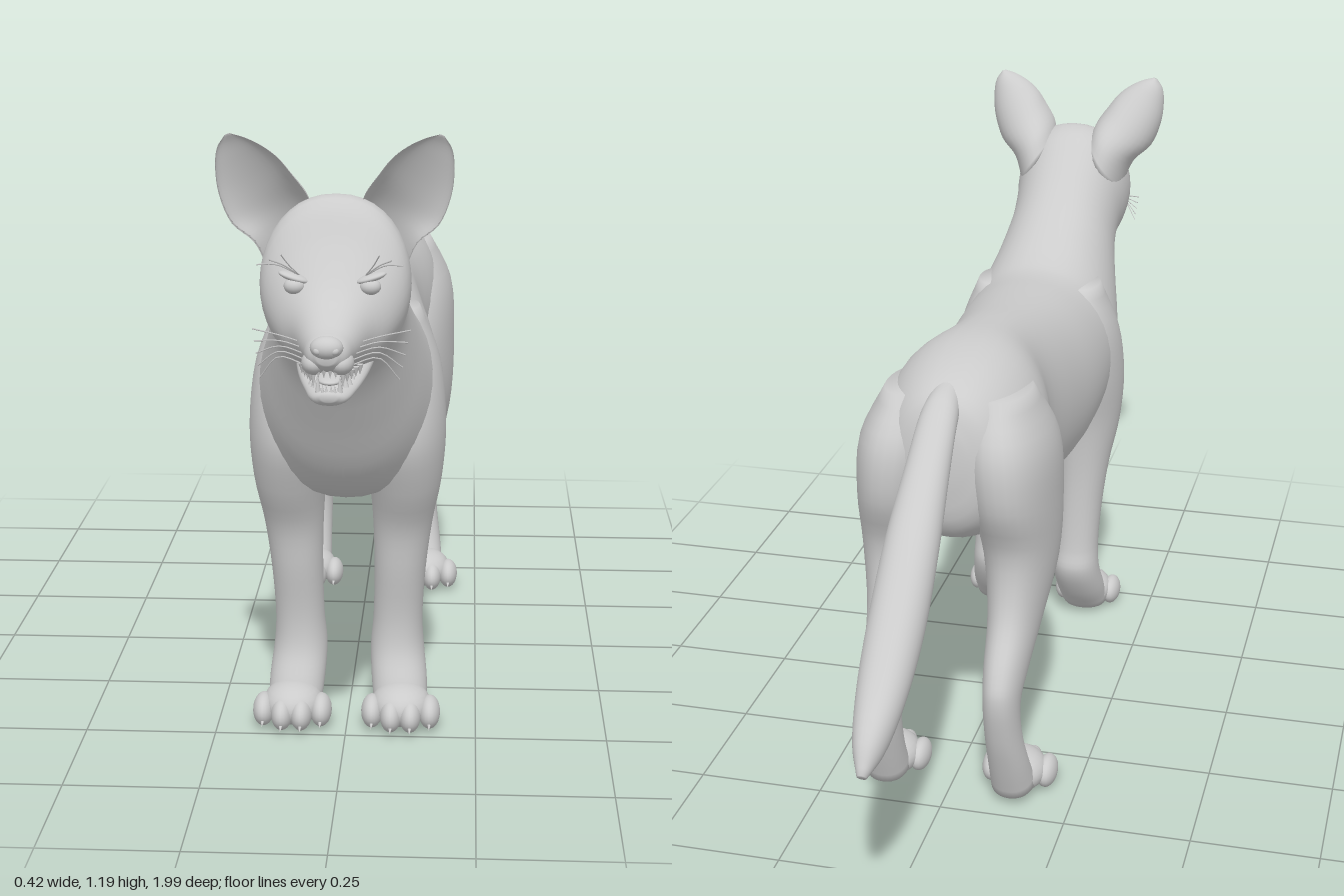
import * as THREE from 'three';

const mat = new THREE.MeshStandardMaterial({ color: 0xcccccc, side: THREE.DoubleSide });

function add(parent, name, geometry) {
  const m = new THREE.Mesh(geometry, mat);
  m.name = name;
  parent.add(m);
  return m;
}

// Smooth closed skin through a series of equally sized rings, capped at both ends
function loft(rings, steps = 4) {
  const n = rings[0].length, rows = (rings.length - 1) * steps;
  const lines = rings[0].map((_, i) => new THREE.CatmullRomCurve3(rings.map(r => r[i])).getPoints(rows));
  const pos = [], idx = [];
  for (let j = 0; j <= rows; j++) for (let i = 0; i < n; i++) pos.push(...lines[i][j].toArray());
  for (const j of [0, rows]) {
    const c = new THREE.Vector3();
    lines.forEach(l => c.addScaledVector(l[j], 1 / n));
    pos.push(...c.toArray());
  }
  const capA = (rows + 1) * n, capB = capA + 1;
  for (let i = 0; i < n; i++) {
    const k = (i + 1) % n;
    for (let j = 0; j < rows; j++) {
      const a = j * n + i, b = j * n + k;
      idx.push(a, b, a + n, b, b + n, a + n);
    }
    idx.push(capA, k, i, capB, rows * n + i, rows * n + k);
  }
  // turn the skin outward whichever way the rings ran
  const P = i => new THREE.Vector3().fromArray(pos, i * 3);
  const o = P(capA);
  let vol = 0;
  for (let t = 0; t < idx.length; t += 3) {
    vol += P(idx[t]).sub(o).dot(P(idx[t + 1]).sub(o).cross(P(idx[t + 2]).sub(o)));
  }
  if (vol < 0) idx.reverse();
  const g = new THREE.BufferGeometry();
  g.setAttribute('position', new THREE.Float32BufferAttribute(pos, 3));
  g.setIndex(idx);
  g.computeVertexNormals();
  return g;
}

// Oval sections: [z, y of one edge, z, y of opposite edge, half width, centre x]
function ovals(sections, side = 1, n = 32) {
  return loft(sections.map(([z1, y1, z2, y2, w, cx = 0]) =>
    Array.from({ length: n }, (_, i) => {
      const a = i / n * Math.PI * 2, s = Math.sin(a), c = Math.cos(a);
      const u = Math.sign(c) * Math.abs(c) ** 0.9;
      return new THREE.Vector3(side * (cx + w * u), (y1 + y2) / 2 + s * (y1 - y2) / 2, (z1 + z2) / 2 + s * (z1 - z2) / 2);
    })));
}

function ball(parent, name, x, y, z, rx, ry, rz) {
  const m = add(parent, name, new THREE.SphereGeometry(1, 20, 14));
  m.position.set(x, y, z);
  m.scale.set(rx, ry, rz);
  return m;
}

function spike(parent, name, x, y, z, r, h, tilt) {
  const m = add(parent, name, new THREE.ConeGeometry(r, h, 8));
  m.position.set(x, y, z);
  m.rotation.x = tilt;
}

function hair(parent, name, ...pts) {
  const curve = new THREE.CatmullRomCurve3(pts.map(p => new THREE.Vector3(...p)));
  add(parent, name, new THREE.TubeGeometry(curve, 8, 0.0012, 4));
}

// Paw with four toes and claws; zf is the toe tip
function paw(parent, name, cx, zf) {
  const g = new THREE.Group();
  g.name = name;
  parent.add(g);
  ball(g, 'pawPad', cx, 0.042, zf - 0.085, 0.058, 0.042, 0.065);
  for (const k of [-1.5, -0.5, 0.5, 1.5]) {
    const back = Math.abs(k) > 1 ? 0.022 : 0, x = cx + k * 0.037;
    ball(g, 'toe', x, 0.033, zf - 0.045 - back, 0.021, 0.031, 0.042);
    spike(g, 'claw', x, 0.02, zf - 0.008 - back, 0.007, 0.03, Math.PI / 2 + 0.35);
  }
}

const BODY = [
  [-0.475, 0.79, -0.48, 0.70, 0.04], [-0.45, 0.85, -0.46, 0.59, 0.10], [-0.38, 0.885, -0.38, 0.54, 0.145],
  [-0.25, 0.905, -0.25, 0.54, 0.16], [-0.10, 0.893, -0.10, 0.495, 0.13], [0.05, 0.872, 0.05, 0.45, 0.148],
  [0.20, 0.857, 0.20, 0.445, 0.168], [0.32, 0.852, 0.33, 0.46, 0.172], [0.38, 0.87, 0.46, 0.465, 0.168],
  [0.44, 0.90, 0.55, 0.53, 0.152], [0.50, 0.935, 0.62, 0.64, 0.133], [0.56, 0.98, 0.67, 0.72, 0.12],
  [0.62, 1.03, 0.71, 0.765, 0.12], [0.68, 1.072, 0.75, 0.777, 0.128], [0.745, 1.078, 0.79, 0.79, 0.127],
  [0.80, 1.005, 0.83, 0.80, 0.103], [0.86, 0.935, 0.87, 0.812, 0.066], [0.93, 0.896, 0.93, 0.822, 0.043],
  [0.97, 0.884, 0.97, 0.832, 0.033], [0.985, 0.872, 0.985, 0.845, 0.016],
];
const JAW = [
  [0.74, 0.83, 0.74, 0.785, 0.07], [0.83, 0.815, 0.83, 0.773, 0.058], [0.88, 0.797, 0.885, 0.765, 0.043],
  [0.92, 0.79, 0.925, 0.763, 0.03], [0.938, 0.787, 0.938, 0.772, 0.013],
];
const TAIL = [
  [-0.40, 0.875, -0.43, 0.80, 0.03], [-0.47, 0.858, -0.485, 0.78, 0.036], [-0.58, 0.78, -0.54, 0.72, 0.042],
  [-0.69, 0.69, -0.63, 0.625, 0.05], [-0.80, 0.585, -0.745, 0.50, 0.052], [-0.90, 0.49, -0.85, 0.42, 0.044],
  [-0.97, 0.425, -0.93, 0.37, 0.028], [-0.997, 0.375, -0.985, 0.36, 0.009],
];
const FRONT_LEG = [
  [0.43, 0.82, 0.31, 0.82, 0.04, 0.095], [0.49, 0.70, 0.27, 0.73, 0.075, 0.10], [0.51, 0.58, 0.275, 0.62, 0.082, 0.105],
  [0.475, 0.475, 0.305, 0.51, 0.07, 0.11], [0.435, 0.39, 0.315, 0.40, 0.057, 0.105], [0.42, 0.30, 0.315, 0.30, 0.05, 0.10],
  [0.405, 0.20, 0.308, 0.19, 0.048, 0.096], [0.41, 0.135, 0.30, 0.14, 0.052, 0.095], [0.435, 0.08, 0.335, 0.07, 0.054, 0.10],
  [0.455, 0.03, 0.385, 0.01, 0.05, 0.104],
];
const HIND_LEG = [
  [-0.23, 0.83, -0.42, 0.84, 0.05, 0.09], [-0.16, 0.72, -0.48, 0.75, 0.085, 0.103], [-0.15, 0.58, -0.482, 0.64, 0.083, 0.113],
  [-0.20, 0.45, -0.44, 0.53, 0.07, 0.122], [-0.29, 0.35, -0.455, 0.41, 0.052, 0.122], [-0.37, 0.28, -0.51, 0.32, 0.042, 0.12],
  [-0.425, 0.225, -0.53, 0.27, 0.036, 0.12], [-0.43, 0.17, -0.515, 0.175, 0.036, 0.122], [-0.41, 0.10, -0.488, 0.09, 0.04, 0.127],
  [-0.38, 0.05, -0.46, 0.015, 0.044, 0.13],
];
// Ear rows: inner edge x, y, outer edge x, y, front z, depth
const EAR = [
  [0.04, 1.05, 0.115, 0.94, 0.715, 0.09], [0.05, 1.085, 0.138, 1.0, 0.742, 0.10], [0.074, 1.12, 0.175, 1.035, 0.755, 0.08],
  [0.095, 1.147, 0.195, 1.085, 0.762, 0.058], [0.12, 1.167, 0.2, 1.13, 0.767, 0.04], [0.15, 1.182, 0.196, 1.165, 0.77, 0.024],
  [0.175, 1.189, 0.183, 1.186, 0.77, 0.008],
];

// Cupped shell: convex back, hollow front
function ear(side) {
  const n = 28;
  return loft(EAR.map(([ix, iy, ox, oy, z, d]) => Array.from({ length: n }, (_, i) => {
    const a = i / n * Math.PI * 2, t = (1 - Math.cos(a)) / 2, s = Math.sin(a);
    const depth = s >= 0 ? s * d : -s * d * 0.6 - 0.004 * s * s;
    return new THREE.Vector3(side * (ix + (ox - ix) * t), iy + (oy - iy) * t, z - depth);
  })));
}

export function createModel() {
  const root = new THREE.Group();
  root.name = 'standingCanine';
  add(root, 'bodyNeckAndSkull', ovals(BODY, 1, 40));
  add(root, 'lowerJaw', ovals(JAW));
  add(root, 'tail', ovals(TAIL));
  ball(root, 'nose', 0, 0.872, 0.976, 0.027, 0.019, 0.021);
  ball(root, 'tongue', 0, 0.798, 0.875, 0.024, 0.008, 0.045);

  for (const s of [1, -1]) {
    const label = s > 0 ? 'left' : 'right';
    add(root, label + 'FrontLeg', ovals(FRONT_LEG, s));
    add(root, label + 'HindLeg', ovals(HIND_LEG, s));
    paw(root, label + 'FrontPaw', s * 0.105, 0.52);
    paw(root, label + 'HindPaw', s * 0.132, -0.3);
    add(root, label + 'Ear', ear(s));

    // eye with upper lid
    ball(root, label + 'Eye', s * 0.063, 0.944, 0.833, 0.018, 0.014, 0.016);
    const lid = ball(root, label + 'UpperLid', s * 0.064, 0.958, 0.828, 0.027, 0.007, 0.018);
    lid.rotation.z = s * 0.3;
    ball(root, label + 'Nostril', s * 0.013, 0.869, 0.988, 0.008, 0.007, 0.007);
    ball(root, label + 'LipPad', s * 0.022, 0.842, 0.95, 0.021, 0.02, 0.03);

    // teeth
    spike(root, 'upperCanine', s * 0.024, 0.815, 0.945, 0.006, 0.035, Math.PI);
    spike(root, 'lowerCanine', s * 0.018, 0.8, 0.922, 0.005, 0.032, 0);
    for (let i = 0; i < 4; i++) {
      spike(root, 'upperCheekTooth', s * (0.03 + i * 0.006), 0.812, 0.925 - i * 0.018, 0.006, 0.018, Math.PI);
      spike(root, 'lowerCheekTooth', s * (0.026 + i * 0.005), 0.797, 0.9 - i * 0.017, 0.006, 0.016, 0);
    }
    for (let i = 0; i < 2; i++) {
      spike(root, 'upperIncisor', s * (0.005 + i * 0.009), 0.827, 0.968, 0.004, 0.016, Math.PI);
      spike(root, 'lowerIncisor', s * (0.004 + i * 0.006), 0.793, 0.93, 0.003, 0.014, 0);
    }

    // whiskers and brow hairs
    for (let i = 0; i < 5; i++) {
      const y = 0.835 + i * 0.006, z = 0.945 - i * 0.012;
      hair(root, 'whisker', [s * 0.035, y, z], [s * 0.08, y + 0.012, z - 0.01], [s * (0.115 + i * 0.004), y - 0.03 + i * 0.012, z - 0.035]);
    }
    for (let i = 0; i < 3; i++) {
      hair(root, 'browHair', [s * 0.055, 0.962, 0.83], [s * (0.07 + i * 0.01), 0.985, 0.862], [s * (0.08 + i * 0.02), 1.005 - i * 0.008, 0.885]);
    }
  }
  return root;
}
